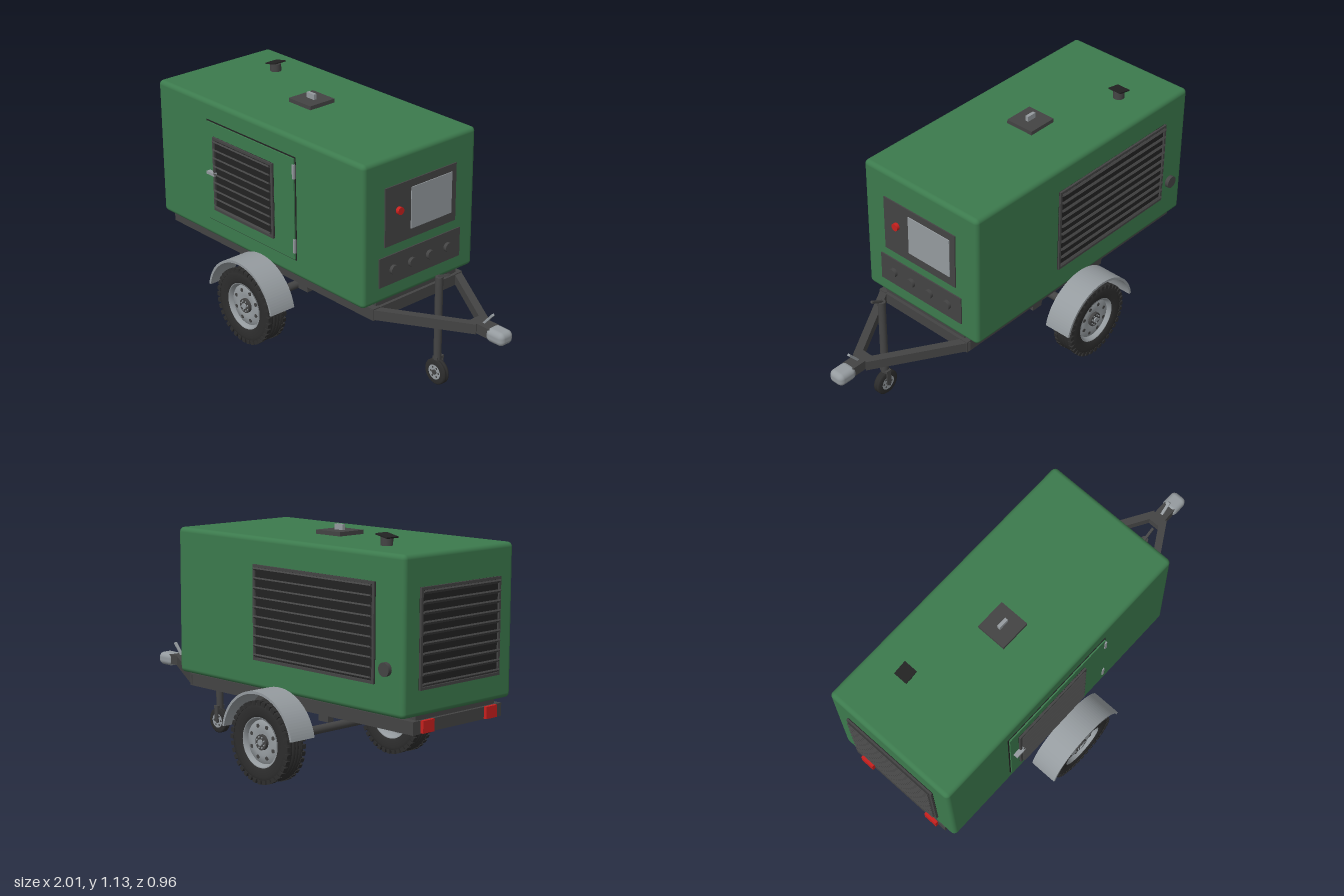
import * as THREE from 'three';
import { RoundedBoxGeometry } from 'three/addons/geometries/RoundedBoxGeometry.js';

const mat = (name, color, side = THREE.FrontSide) => {
  const m = new THREE.MeshStandardMaterial({ color, side });
  m.name = name;
  return m;
};

export function createModel() {
  const green = mat('canopy green', 0x3c7a4d);
  const dark = mat('frame grey', 0x444444);
  const black = mat('shadow black', 0x222222);
  const rubber = mat('rubber', 0x2d2d2d);
  const steel = mat('galvanised steel', 0x959b9f);
  const red = mat('red', 0xc8201e);

  const model = new THREE.Group();
  model.name = 'trailerGenerator';

  const add = (name, geo, material, x = 0, y = 0, z = 0, parent = model) => {
    const m = new THREE.Mesh(geo, material);
    m.name = name;
    m.position.set(x, y, z);
    parent.add(m);
    return m;
  };
  // box given by its min and max on each axis
  const box = (name, material, x0, x1, y0, y1, z0, z1, parent = model) =>
    add(name, new THREE.BoxGeometry(x1 - x0, y1 - y0, z1 - z0), material,
      (x0 + x1) / 2, (y0 + y1) / 2, (z0 + z1) / 2, parent);
  // cylinder along a chosen axis
  const cyl = (name, material, r, h, axis, x, y, z, parent = model, sides = 24) => {
    const g = new THREE.CylinderGeometry(r, r, h, sides);
    if (axis === 'x') g.rotateZ(-Math.PI / 2);
    if (axis === 'z') g.rotateX(Math.PI / 2);
    return add(name, g, material, x, y, z, parent);
  };
  // straight bar between two points
  const bar = (name, material, a, b, w, h) => {
    const p = new THREE.Vector3(...a), q = new THREE.Vector3(...b);
    const m = add(name, new THREE.BoxGeometry(w, h, p.distanceTo(q)), material);
    m.position.copy(p).add(q).multiplyScalar(0.5);
    m.lookAt(q);
    return m;
  };

  // canopy and its plinth
  add('canopy', new RoundedBoxGeometry(1.44, 0.683, 0.686, 4, 0.022), green, -0.265, 0.7335, 0);
  box('plinth', dark, -0.97, 0.44, 0.372, 0.396, -0.25, 0.25);

  // chassis
  for (const s of [-1, 1]) {
    box('sideRail', dark, -0.985, 0.455, 0.318, 0.376, s * 0.26 - 0.02, s * 0.26 + 0.02);
    for (const x of [-0.45, -0.02]) box('hanger', dark, x - 0.03, x + 0.03, 0.29, 0.32, s * 0.262 - 0.016, s * 0.262 + 0.016);
    box('tailLight', red, -1, -0.984, 0.322, 0.376, s * 0.2 - 0.035, s * 0.2 + 0.035);
  }
  for (const x of [-0.965, -0.235, 0.435]) box('crossMember', dark, x - 0.02, x + 0.02, 0.32, 0.374, -0.245, 0.245);
  box('floorPlate', black, -0.95, 0.42, 0.364, 0.374, -0.245, 0.245);

  // drawbar and coupling
  for (const s of [-1, 1]) bar('drawbarArm', dark, [0.43, 0.347, s * 0.27], [0.84, 0.347, s * 0.025], 0.036, 0.048);
  box('couplingSleeve', dark, 0.8, 0.92, 0.323, 0.371, -0.032, 0.032);
  add('couplingHead', new RoundedBoxGeometry(0.1, 0.064, 0.082, 4, 0.025), steel, 0.95, 0.343, 0);
  bar('couplingLever', steel, [0.86, 0.37, 0], [0.91, 0.428, 0], 0.013, 0.01);

  // jockey wheel
  const jx = 0.643, jz = 0.063;
  cyl('jockeyPost', dark, 0.018, 0.41, 'y', jx, 0.33, jz);
  bar('jockeyCrank', dark, [jx - 0.005, 0.533, jz], [jx + 0.06, 0.566, jz], 0.012, 0.01);
  box('jockeyFork', dark, jx - 0.012, jx + 0.012, 0.06, 0.14, 0.036, 0.042);
  box('jockeyForkTop', dark, jx - 0.014, jx + 0.014, 0.127, 0.14, 0.036, 0.08);

  // turns a (radius, z) profile round the z axis
  const turned = (pts, n = 48) => new THREE.LatheGeometry(
    pts.map(([r, z]) => new THREE.Vector2(r, z)), n).rotateX(Math.PI / 2);

  const jockey = new THREE.Group();
  jockey.name = 'jockeyWheel';
  jockey.position.set(jx, 0.063, jz);
  model.add(jockey);
  add('jockeyTyre', turned([[0.036, -0.018], [0.055, -0.018], [0.062, -0.012], [0.062, -0.005], [0.058, -0.004],
    [0.058, 0.004], [0.062, 0.005], [0.062, 0.012], [0.055, 0.018], [0.036, 0.018]], 32), rubber, 0, 0, 0, jockey);
  cyl('jockeyRim', steel, 0.038, 0.032, 'z', 0, 0, 0, jockey);
  cyl('jockeyHub', dark, 0.012, 0.044, 'z', 0, 0, 0, jockey);
  for (let i = 0; i < 6; i++) {
    const a = i * Math.PI / 3;
    cyl('jockeyRimHole', dark, 0.005, 0.034, 'z', 0.024 * Math.cos(a), 0.024 * Math.sin(a), 0, jockey, 10);
  }

  // road wheels, local +z is the outside
  const wheel = () => {
    const g = new THREE.Group();
    g.name = 'roadWheel';
    add('tyre', turned([[0.113, -0.045], [0.125, -0.052], [0.155, -0.053], [0.175, -0.05], [0.184, -0.04],
      [0.184, -0.024], [0.177, -0.022], [0.177, -0.017], [0.184, -0.015], [0.184, -0.003], [0.177, -0.002],
      [0.177, 0.002], [0.184, 0.003], [0.184, 0.015], [0.177, 0.017], [0.177, 0.022], [0.184, 0.024],
      [0.184, 0.04], [0.175, 0.05], [0.155, 0.053], [0.125, 0.052], [0.113, 0.045]]), rubber, 0, 0, 0, g);
    const n = 36;
    for (let i = 0; i < n; i++) {
      const a = i / n * Math.PI * 2;
      for (const s of [-1, 1]) {
        const lug = box('treadLug', rubber, -0.01, 0.01, -0.01, 0.01, -0.011, 0.011, g);
        lug.position.set(0.177 * Math.cos(a), 0.177 * Math.sin(a), s * 0.043);
        lug.rotation.z = a;
      }
    }
    const rim = steel.clone();
    rim.side = THREE.DoubleSide;
    steel.side = THREE.DoubleSide;
    add('rim', turned([[0.116, -0.046], [0.108, -0.046], [0.1, -0.02], [0.1, 0.02], [0.108, 0.046], [0.116, 0.046]]), steel, 0, 0, 0, g);
    add('rimDisc', turned([[0, 0.012], [0.102, 0.012], [0.098, 0.028], [0.06, 0.034], [0.045, 0.028], [0, 0.028]]), steel, 0, 0, 0, g);
    cyl('hub', dark, 0.035, 0.03, 'z', 0, 0, 0.027, g);
    cyl('hubCap', steel, 0.014, 0.012, 'z', 0, 0, 0.042, g);
    for (let i = 0; i < 8; i++) {
      const a = (i + 0.5) * Math.PI / 4;
      cyl('rimHole', dark, 0.009, 0.006, 'z', 0.075 * Math.cos(a), 0.075 * Math.sin(a), 0.031, g, 14);
      cyl('wheelNut', steel, 0.004, 0.006, 'z', 0.025 * Math.cos(a), 0.025 * Math.sin(a), 0.042, g, 6);
    }
    return g;
  };
  const wx = -0.235, wy = 0.187;
  cyl('axle', dark, 0.02, 0.78, 'z', wx, wy + 0.003, 0);

  // mudguard arc
  const arc = new THREE.Shape();
  const a0 = 0.19, a1 = Math.PI - 0.19;
  arc.absarc(0, 0, 0.232, a0, a1, false);
  arc.absarc(0, 0, 0.22, a1, a0, true);
  const guard = new THREE.ExtrudeGeometry(arc, { depth: 0.137, bevelEnabled: false, curveSegments: 24 });
  for (const s of [-1, 1]) {
    const w = wheel();
    w.position.set(wx, wy, s * 0.411);
    if (s < 0) w.rotation.y = Math.PI;
    model.add(w);
    add('mudguard', guard, steel, wx, wy, s > 0 ? 0.343 : -0.48);
  }

  // louvred grille, local +z is the outside
  const louvre = (name, w, h, count, x, y, z, turn) => {
    const g = new THREE.Group();
    g.name = name;
    g.position.set(x, y, z);
    g.rotation.y = turn;
    model.add(g);
    const b = 0.012;
    box('grilleBack', black, -w / 2, w / 2, -h / 2, h / 2, -0.004, 0.002, g);
    for (const s of [-1, 1]) {
      box('grilleSide', dark, s * (w / 2 - b / 2) - b / 2, s * (w / 2 - b / 2) + b / 2, -h / 2, h / 2, 0, 0.01, g);
      box('grilleEdge', dark, -w / 2, w / 2, s * (h / 2 - b / 2) - b / 2, s * (h / 2 - b / 2) + b / 2, 0, 0.01, g);
    }
    for (let i = 0; i < count; i++) {
      const slat = box('slat', dark, -w / 2 + b, w / 2 - b, -0.004, 0.004, -0.013, 0.013, g);
      slat.position.set(0, -h / 2 + h * (i + 0.5) / count, 0.009);
      slat.rotation.x = -0.6;
    }
  };

  // service door on the front side
  box('doorGap', black, -0.613, 0.018, 0.477, 0.983, 0.34, 0.3455);
  box('door', green, -0.607, 0.012, 0.483, 0.977, 0.34, 0.352);
  louvre('doorGrille', 0.43, 0.37, 9, -0.34, 0.728, 0.353, 0);
  box('doorHandle', steel, -0.59, -0.535, 0.722, 0.736, 0.35, 0.374);
  for (const y of [0.915, 0.55]) box('hinge', steel, 0.006, 0.018, y - 0.034, y + 0.034, 0.345, 0.357);

  // back and tail grilles, filler cap
  louvre('backGrille', 0.75, 0.43, 10, -0.45, 0.737, -0.344, Math.PI);
  louvre('tailGrille', 0.5, 0.43, 10, -0.986, 0.72, 0, -Math.PI / 2);
  cyl('fillerCap', dark, 0.03, 0.024, 'z', -0.89, 0.594, -0.35);

  // control end
  box('controlPanel', dark, 0.45, 0.461, 0.658, 0.938, -0.217, 0.218);
  box('screen', steel, 0.455, 0.465, 0.704, 0.903, -0.187, 0.064);
  cyl('stopButton', red, 0.018, 0.025, 'x', 0.465, 0.815, 0.138);
  box('socketPanel', dark, 0.45, 0.461, 0.47, 0.612, -0.25, 0.25);
  for (const z of [-0.168, -0.056, 0.056, 0.168]) cyl('socket', dark, 0.022, 0.03, 'x', 0.462, 0.54, z);

  // roof hatch with lifting eye, exhaust with rain flap
  box('roofHatch', dark, -0.34, -0.19, 1.07, 1.094, -0.074, 0.074);
  box('liftingEye', steel, -0.29, -0.24, 1.09, 1.12, -0.008, 0.008);
  cyl('exhaustPipe', dark, 0.027, 0.045, 'y', -0.705, 1.09, -0.155);
  box('rainFlap', black, -0.74, -0.67, 1.114, 1.12, -0.19, -0.12).rotation.z = 0.2;

  return model;
}
